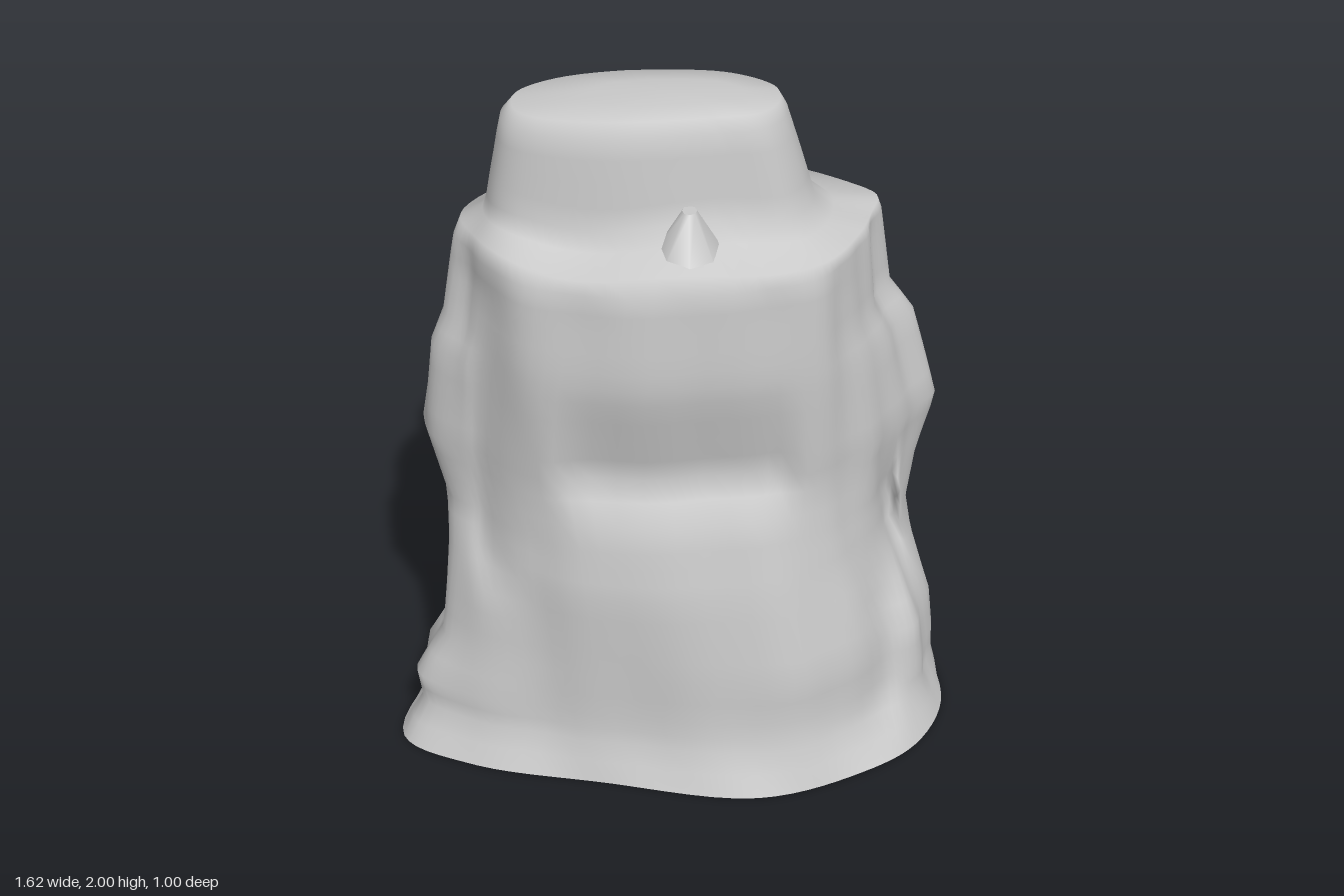
import * as THREE from 'three';

// Plan outlines (x, z), running from the right side round the front, left side and back.
const BASE = [[-.83, .22], [-.62, .35], [-.24, .43], [.22, .5], [.52, .39], [.7, .25],
  [.79, .02], [.7, -.28], [.35, -.42], [-.12, -.5], [-.52, -.42], [-.75, -.1]];
const MIDDLE = [[-.7, .1], [-.55, .24], [-.3, .36], [.2, .34], [.43, .25], [.58, .09],
  [.67, -.04], [.73, -.16], [.4, -.35], [-.12, -.4], [-.5, -.31], [-.74, -.05]];
const WALL = [[-.57, .12], [-.47, .27], [-.24, .38], [.2, .35], [.39, .26], [.48, .11],
  [.53, -.04], [.55, -.17], [.35, -.29], [-.15, -.34], [-.42, -.27], [-.61, -.05]];
const CROWN = [[-.48, .05], [-.42, .11], [-.2, .16], [.08, .13], [.21, .1], [.26, .04],
  [.27, -.03], [.25, -.09], [.13, -.17], [-.08, -.19], [-.36, -.15], [-.48, -.06]];

// Height levels: y, min x, max x, min z, max z, blend (0 base, 1 middle, 2 wall, 3 crown)
const LEVELS = [
  [0, -.83, .79, -.5, .5, 0], [.12, -.77, .76, -.475, .455, .1],
  [.21, -.79, .76, -.46, .44, .15], [.35, -.71, .75, -.42, .44, .3],
  [.63, -.69, .68, -.42, .42, .7], [.78, -.69, .69, -.42, .39, .9],
  [.92, -.73, .72, -.42, .36, 1], [.98, -.74, .73, -.4, .36, 1], [1.26, -.7, .65, -.38, .385, 1.4],
  [1.36, -.66, .58, -.35, .39, 1.9], [1.59, -.62, .55, -.33, .38, 2],
  [1.63, -.6, .54, -.315, .355, 2.05], [1.65, -.54, .42, -.24, .23, 2.6], [1.7, -.525, .36, -.215, .2, 2.9],
  [1.95, -.48, .28, -.19, .175, 3], [1.985, -.45, .26, -.17, .15, 3], [1.995, -.25, .16, -.09, .07, 3],
];
const SIDES = 80;

// Add evenly spaced rings between the height levels.
function denseLevels() {
  const out = [LEVELS[0]];
  for (let i = 1; i < LEVELS.length; i++) {
    const from = LEVELS[i - 1], to = LEVELS[i];
    const steps = Math.ceil((to[0] - from[0]) / .07);
    for (let k = 1; k <= steps; k++) out.push(from.map((v, j) => v + (to[j] - v) * k / steps));
  }
  return out;
}

// Sample an outline as a closed curve and normalise it to a unit box.
function unitOutline(points) {
  const curve = new THREE.CatmullRomCurve3(points.map(([x, z]) => new THREE.Vector3(x, 0, z)), true, 'centripetal');
  const list = Array.from({ length: SIDES }, (_, i) => curve.getPoint(i / SIDES));
  const box = new THREE.Box3().setFromPoints(list);
  const size = box.getSize(new THREE.Vector3());
  return list.map(p => [(p.x - box.min.x) / size.x, (p.z - box.min.z) / size.z]);
}

const band = (v, lo, hi, soft) =>
  THREE.MathUtils.smoothstep(v, lo - soft, lo + soft) * (1 - THREE.MathUtils.smoothstep(v, hi - soft, hi + soft));
const dent = (v, centre, width) => Math.exp(-(((v - centre) / width) ** 2));

// Weathering: vertical flutes, an undercut front wall and clefts at the ends.
function weather(x, y, z) {
  const a = Math.atan2(z * 1.7, x);
  const body = band(y, .05, 1.6, .04);
  const flutes = 1 - body * (.01 + .01 * Math.sin(a * 9 + y * 1.8) + .01 * Math.sin(a * 15 - y * 2.6 + 1));
  let inset = 0;
  if (z > 0) {
    // The undercut deepens downwards to a ledge
    const depth = .05 * THREE.MathUtils.clamp((1.28 - y) / .3, 0, 1) * THREE.MathUtils.smoothstep(y, .88, .97);
    inset += depth * band(x, -.32, .3, .05);
    inset += .06 * band(y, .1, .8, .1) * dent(x, .6, .06);
    inset += .05 * band(y, .6, 1.55, .08) * dent(x, -.55, .06);
  } else {
    inset -= .05 * band(y, .1, .8, .1) * dent(x, .58, .07);
  }
  return [x * flutes, z * flutes - inset];
}

function rockGeometry() {
  const shapes = [BASE, MIDDLE, WALL, CROWN].map(unitOutline);
  const levels = denseLevels();
  const pos = [], index = [];
  for (const [y, x0, x1, z0, z1, blend] of levels) {
    const s = Math.min(2, Math.floor(blend)), t = blend - s;
    for (let i = 0; i < SIDES; i++) {
      const [ua, va] = shapes[s][i], [ub, vb] = shapes[s + 1][i];
      const u = ua + (ub - ua) * t, v = va + (vb - va) * t;
      const [x, z] = weather(x0 + (x1 - x0) * u, y, z0 + (z1 - z0) * v);
      // The ledge and crown undulate slightly.
      const lift = y > 1.6 && y < 1.8 ? .01 * Math.sin(x * 11 + z * 5) : y >= 1.9 ? -.035 * Math.max(0, -x - .15) : 0;
      pos.push(x, y + lift, z);
    }
  }
  for (let r = 0; r < levels.length - 1; r++) {
    for (let i = 0; i < SIDES; i++) {
      const a = r * SIDES + i, b = r * SIDES + (i + 1) % SIDES;
      index.push(a, b, a + SIDES, b, b + SIDES, a + SIDES);
    }
  }
  // Close the summit
  const top = pos.length / 3, last = (levels.length - 1) * SIDES;
  pos.push(-.04, 2, -.01);
  for (let i = 0; i < SIDES; i++) index.push(last + i, last + (i + 1) % SIDES, top);
  const g = new THREE.BufferGeometry();
  g.setAttribute('position', new THREE.Float32BufferAttribute(pos, 3));
  g.setIndex(index);
  g.computeVertexNormals();
  return g;
}

export function createModel() {
  const group = new THREE.Group();
  group.name = 'rockFormation';
  const stone = new THREE.MeshStandardMaterial({ color: 0xc9c9c9 });
  stone.name = 'grey stone';
  const add = (name, geometry) => {
    const mesh = new THREE.Mesh(geometry, stone);
    mesh.name = name;
    group.add(mesh);
    return mesh;
  };

  const rock = add('rockBody', rockGeometry());

  // Flat underside following the lowest outline
  const p = rock.geometry.attributes.position;
  const outline = Array.from({ length: SIDES }, (_, i) => new THREE.Vector2(p.getX(i), p.getZ(i)));
  add('underside', new THREE.ShapeGeometry(new THREE.Shape(outline)).rotateX(Math.PI / 2));

  // Small ridge buttressing the crown on the front ledge
  const ridge = add('ledgeRidge', new THREE.CylinderGeometry(.02, .1, .13, 8));
  ridge.scale.z = 1.3;
  ridge.position.set(.02, 1.69, .2);
  return group;
}
